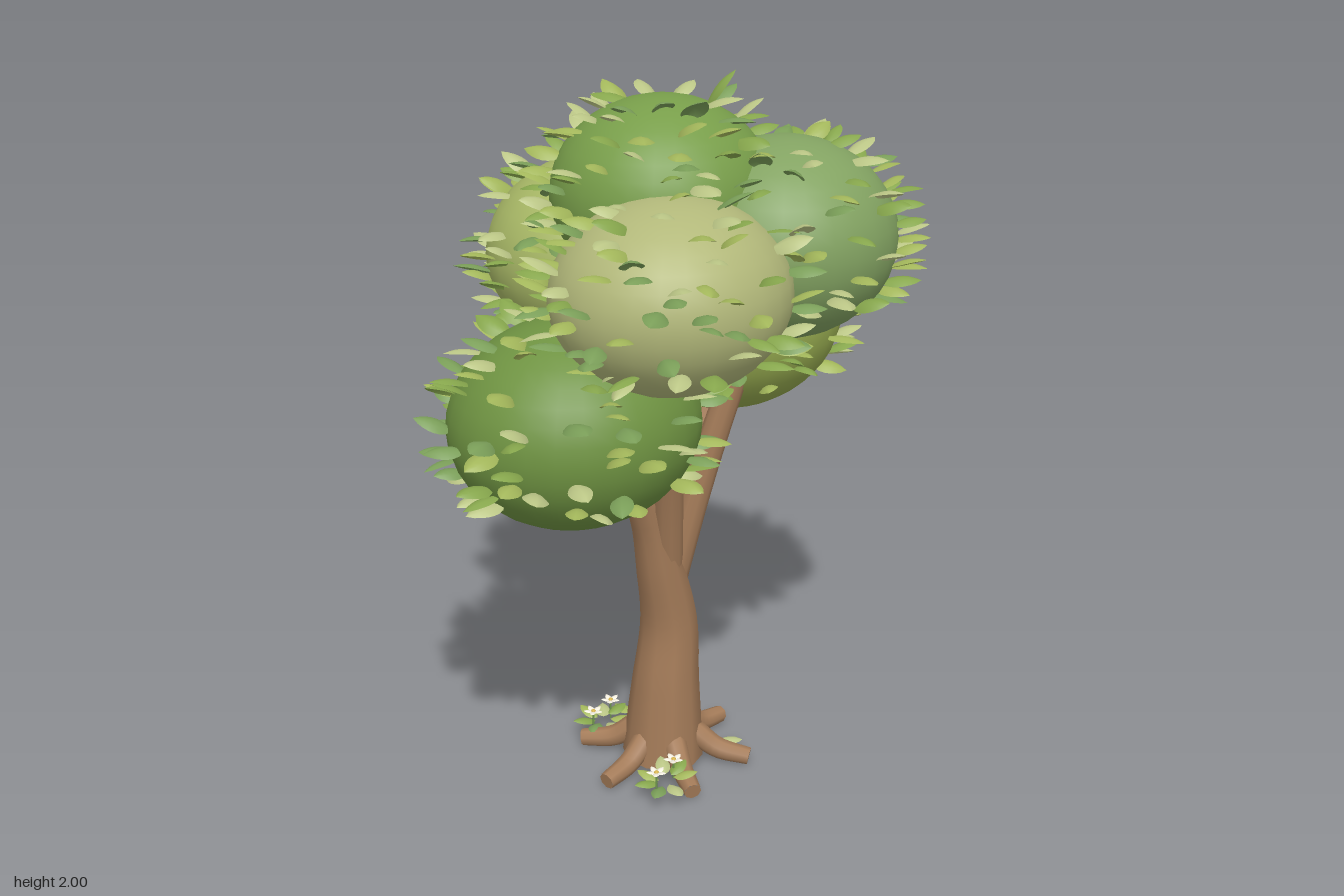
import * as THREE from 'three';
import { mergeGeometries } from 'three/addons/utils/BufferGeometryUtils.js';

const V = (x, y, z) => new THREE.Vector3(x, y, z);
const material = (color, side = THREE.FrontSide) => new THREE.MeshStandardMaterial({ color, side });

// Small seeded generator
let seed = 11;
const rand = () => {
  seed = (seed * 16807) % 2147483647;
  return seed / 2147483647;
};
const range = (a, b) => a + (b - a) * rand();

// Tube along a smooth path whose radius follows a list of values, with a flat cap at its far end
function taperedTube(points, radii, sides = 10, steps = 24) {
  const curve = new THREE.CatmullRomCurve3(points);
  const tube = new THREE.TubeGeometry(curve, steps, 1, sides, false);
  const pos = tube.attributes.position;
  const p = V(0, 0, 0);
  for (let i = 0; i < pos.count; i++) {
    const u = Math.floor(i / (sides + 1)) / steps;
    const f = u * (radii.length - 1);
    const k = Math.min(Math.floor(f), radii.length - 2);
    const r = THREE.MathUtils.lerp(radii[k], radii[k + 1], f - k);
    const c = curve.getPointAt(u);
    p.fromBufferAttribute(pos, i).sub(c).multiplyScalar(r).add(c);
    pos.setXYZ(i, p.x, p.y, p.z);
  }
  const cap = new THREE.CircleGeometry(radii[radii.length - 1], sides);
  cap.applyQuaternion(new THREE.Quaternion().setFromUnitVectors(V(0, 0, 1), curve.getTangentAt(1)));
  const end = curve.getPointAt(1);
  cap.translate(end.x, end.y, end.z);
  return mergeGeometries([tube, cap]);
}

// Cupped leaf: grows along +z from the origin, upper face +y, unit length
function leafGeometry() {
  const g = new THREE.PlaneGeometry(1, 1, 4, 7).rotateX(-Math.PI / 2);
  const pos = g.attributes.position;
  for (let i = 0; i < pos.count; i++) {
    const t = pos.getZ(i) + 0.5;
    const side = pos.getX(i) * 2;
    const half = 0.3 * Math.pow(Math.sin(Math.PI * Math.pow(t, 0.9)), 0.75) || 0;
    const y = 0.16 * Math.sin(Math.PI * t * 0.8) - 0.13 * side * side * (half / 0.3);
    pos.setXYZ(i, side * half, y, t);
  }
  g.computeVertexNormals();
  return g;
}

// Place a leaf at a point, pointing along dir
function placeLeaf(leaf, point, dir, length, roll = 0) {
  const z = dir.clone().normalize();
  const x = V(0, 1, 0).cross(z).normalize();
  const m = new THREE.Matrix4().makeBasis(x, z.clone().cross(x), z);
  m.multiply(new THREE.Matrix4().makeRotationZ(roll));
  m.scale(V(length, length, length)).setPosition(point);
  return leaf.clone().applyMatrix4(m);
}

const LEAF_COLORS = [0x86a64c, 0xa2b65a, 0xbac585, 0x7a9e58];

// Foliage masses: centre, radii, colour
const CROWN = [
  { name: 'lowerRightFoliage', c: V(-0.345, 1.15, 0), r: V(0.345, 0.275, 0.32), color: 0x6f9342 },
  { name: 'lowerLeftFoliage', c: V(0.315, 1.28, -0.04), r: V(0.345, 0.268, 0.31), color: 0x94a84e },
  { name: 'frontRightFoliage', c: V(-0.21, 1.5, 0.21), r: V(0.32, 0.25, 0.3), color: 0xb2b87a },
  { name: 'frontLeftFoliage', c: V(0.21, 1.57, 0.23), r: V(0.31, 0.267, 0.302), color: 0x83a362 },
  { name: 'topFoliage', c: V(-0.01, 1.69, 0), r: V(0.3, 0.255, 0.29), color: 0x789e4a },
  { name: 'backFoliage', c: V(0.01, 1.49, -0.24), r: V(0.33, 0.265, 0.3), color: 0xa8b866 },
];

function buildFoliage(blob, leaf) {
  const group = new THREE.Group();
  group.name = blob.name;
  const ball = new THREE.Mesh(new THREE.SphereGeometry(1, 28, 18), material(blob.color));
  ball.name = 'foliageMass';
  ball.position.copy(blob.c);
  ball.scale.copy(blob.r);
  group.add(ball);

  // Leaves spread over the mass, skipping spots buried in a neighbour
  const sets = LEAF_COLORS.map(() => []);
  const count = 115;
  for (let i = 0; i < count; i++) {
    const y = THREE.MathUtils.lerp(0.97, -0.65, Math.pow((i + 0.5) / count, 1.05));
    const a = i * 2.39996 + range(-0.4, 0.4);
    const s = Math.sqrt(1 - y * y);
    const n = V(Math.cos(a) * s, y, Math.sin(a) * s);
    const p = n.clone().multiply(blob.r).multiplyScalar(0.95).add(blob.c);
    const buried = CROWN.some((o) => o !== blob && p.clone().sub(o.c).divide(o.r).length() < 0.94);
    const pick = Math.floor(rand() * LEAF_COLORS.length);
    const turn = a + range(-0.5, 0.5);
    const dir = V(Math.cos(turn), 0.08 + 0.25 * y + range(-0.35, 0.2), Math.sin(turn));
    const length = range(0.09, 0.115);
    if (!buried) sets[pick].push(placeLeaf(leaf, p, dir, length, range(-0.4, 0.4)));
  }
  sets.forEach((set, k) => {
    if (!set.length) return;
    const mesh = new THREE.Mesh(mergeGeometries(set), material(LEAF_COLORS[k], THREE.DoubleSide));
    mesh.name = 'leaves';
    group.add(mesh);
  });
  return group;
}

// Ground tuft: a few leaves and small white flowers
function buildTuft(x, z, leaf) {
  const group = new THREE.Group();
  group.name = 'groundTuft';
  const add = (name, geometry, color) => {
    const mesh = new THREE.Mesh(geometry, material(color, THREE.DoubleSide));
    mesh.name = name;
    group.add(mesh);
  };
  for (let i = 0; i < 7; i++) {
    const a = i * 0.9 + range(-0.2, 0.2);
    const p = V(x + 0.025 * Math.cos(a), range(0.045, 0.06), z + 0.02 * Math.sin(a));
    const dir = V(Math.cos(a), range(-0.2, 0.2), Math.sin(a));
    add('tuftLeaf', placeLeaf(leaf, p, dir, 0.07), LEAF_COLORS[i % 4]);
  }
  for (const [dx, dz, h] of [[-0.05, 0.01, 0.105], [0.045, -0.01, 0.095]]) {
    add('flowerStem', new THREE.CylinderGeometry(0.003, 0.003, 0.06, 5).translate(x + dx, h - 0.03, z + dz), 0x6f9650);
    add('flowerCentre', new THREE.SphereGeometry(0.008, 8, 6).translate(x + dx, h, z + dz), 0xd8b44a);
    const petals = [];
    for (let k = 0; k < 5; k++) {
      const a = (k / 5) * Math.PI * 2;
      petals.push(placeLeaf(leaf, V(x + dx, h, z + dz), V(Math.cos(a), 0.1, Math.sin(a)), 0.03));
    }
    add('flowerPetals', mergeGeometries(petals), 0xf4efe0);
  }
  return group;
}

export function createModel() {
  seed = 11;
  const tree = new THREE.Group();
  tree.name = 'tree';
  const bark = material(0xa67d5a);
  const addBark = (name, geometry) => {
    const mesh = new THREE.Mesh(geometry, bark);
    mesh.name = name;
    tree.add(mesh);
  };
  const addLeaf = (name, geometry, color) => {
    const mesh = new THREE.Mesh(geometry, material(color, THREE.DoubleSide));
    mesh.name = name;
    tree.add(mesh);
  };

  // Trunk, bending over into the lowest foliage
  const spine = [V(-0.03, 0.02, 0.025), V(-0.016, 0.25, 0.023), V(-0.002, 0.44, 0.022), V(-0.035, 0.62, 0.018),
    V(-0.075, 0.78, 0.012), V(-0.15, 0.93, 0.005), V(-0.32, 1.1, 0)];
  addBark('trunk', taperedTube(spine, [0.118, 0.106, 0.092, 0.081, 0.07, 0.056, 0.045, 0.042, 0.038], 10, 32));

  // One limb for each of the other foliage masses
  for (const { c } of CROWN.slice(1)) {
    const root = V(-0.005, 0.52, 0.02);
    const at = (u, lift) => root.clone().lerp(c, u).add(V(0, lift, 0));
    addBark('branch', taperedTube([root, at(0.3, 0.05), at(0.65, 0.03), c], [0.042, 0.041, 0.036, 0.03]));
  }

  // Six roots spreading over the ground from inside the trunk
  for (let i = 0; i < 6; i++) {
    const a = (i * Math.PI) / 3;
    const at = (r, y) => V(-0.02 + r * Math.cos(a), y, 0.025 + r * Math.sin(a));
    addBark('root', taperedTube([at(0.03, 0.14), at(0.095, 0.09), at(0.155, 0.048), at(0.25, 0.03)], [0.032, 0.034, 0.03, 0.025], 8, 12));
  }

  const leaf = leafGeometry();
  CROWN.forEach((blob) => tree.add(buildFoliage(blob, leaf)));

  // Single upright leaf at the peak
  addLeaf('peakLeaf', placeLeaf(leaf, V(0.08, 1.91, 0.07), V(0.6, 0.85, 0.6), 0.12), LEAF_COLORS[0]);

  // Ground tufts and a few fallen leaves
  tree.add(buildTuft(-0.18, 0.17, leaf), buildTuft(-0.06, -0.19, leaf));
  [[0.11, -0.16, 0.6, -0.8], [0.04, -0.17, 0.1, -1], [0.1, 0.13, 0.7, 0.7]].forEach(([x, z, dx, dz], i) =>
    addLeaf('fallenLeaf', placeLeaf(leaf, V(x, 0.04, z), V(dx, -0.1, dz), 0.07), LEAF_COLORS[i]));
  return tree;
}
